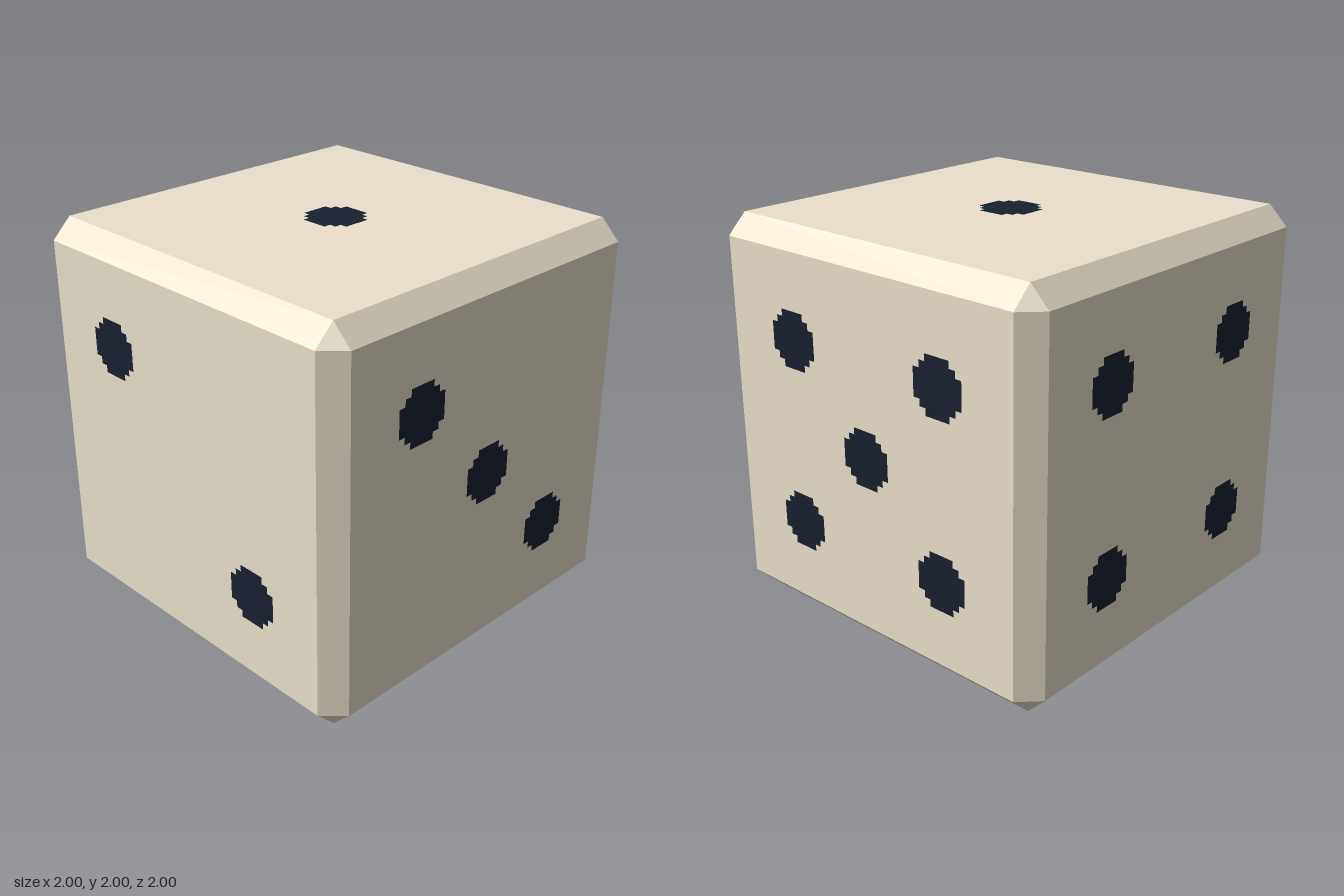
import * as THREE from 'three';

const H = 1;      // half the cube
const E = 0.9;    // half of each flat face, leaving a 0.1 chamfer
const P = 0.47;   // pip offset from the face centre
const U = 0.0358; // step of the stair-edged pips

const ivory = new THREE.MeshStandardMaterial({ color: 0xebe1cc, flatShading: true });
const ink = new THREE.MeshStandardMaterial({ color: 0x18202f, flatShading: true });

// Stepped round outline, eight steps wide: one quarter, turned four times
function pipPoints(cx, cy) {
  const quarter = [[4, -2], [4, 2], [3, 2], [3, 3], [2, 3]];
  const pts = [];
  for (let i = 0; i < 4; i++) {
    for (let [x, y] of quarter) {
      for (let k = 0; k < i; k++) [x, y] = [-y, x];
      if (i > 0 && x === pts.at(-1).ux && y === pts.at(-1).uy) continue;
      const p = new THREE.Vector2(cx + x * U, cy + y * U);
      pts.push(Object.assign(p, { ux: x, uy: y }));
    }
  }
  // the last corner meets the first
  const last = pts.at(-1);
  if (last.ux === pts[0].ux && last.uy === pts[0].uy) pts.pop();
  return pts;
}

// One flat face with its pips inlaid flush
function makeFace(name, pips, rx, ry) {
  const face = new THREE.Group();
  face.name = name;
  const square = new THREE.Shape([[-E, -E], [E, -E], [E, E], [-E, E]].map(([x, y]) => new THREE.Vector2(x, y)));
  for (const [x, y] of pips) {
    const pts = pipPoints(x * P, y * P);
    square.holes.push(new THREE.Path(pts));
    const pip = new THREE.Mesh(new THREE.ShapeGeometry(new THREE.Shape(pts)), ink);
    pip.name = 'pip';
    pip.position.z = H;
    face.add(pip);
  }
  const panel = new THREE.Mesh(new THREE.ShapeGeometry(square), ivory);
  panel.name = 'facePanel';
  panel.position.z = H;
  face.add(panel);
  face.rotation.set(rx, ry, 0);
  return face;
}

// Flat bevels along the 12 edges and triangles on the 8 corners
function makeChamfers() {
  const pos = [];
  const tri = (a, b, c, flip) => pos.push(...a, ...(flip ? c : b), ...(flip ? b : c));
  const signs = [-1, 1];
  for (const s of signs) for (const t of signs) {
    for (let axis = 0; axis < 3; axis++) {
      const at = (u, v, w) => {
        const p = [0, 0, 0];
        p[axis] = u;
        p[(axis + 1) % 3] = v * s;
        p[(axis + 2) % 3] = w * t;
        return p;
      };
      const a = at(-E, E, H), b = at(E, E, H), c = at(E, H, E), d = at(-E, H, E);
      tri(a, b, c, s * t < 0);
      tri(a, c, d, s * t < 0);
    }
    for (const r of signs) {
      tri([H * s, E * t, E * r], [E * s, H * t, E * r], [E * s, E * t, H * r], s * t * r < 0);
    }
  }
  const geo = new THREE.BufferGeometry();
  geo.setAttribute('position', new THREE.Float32BufferAttribute(pos, 3));
  geo.computeVertexNormals();
  const mesh = new THREE.Mesh(geo, ivory);
  mesh.name = 'chamferedEdges';
  return mesh;
}

export function createModel() {
  const model = new THREE.Group();
  model.name = 'die';
  const Q = Math.PI / 2;
  const diagonal = [[-1, 1], [1, -1]];
  const four = [...diagonal, [1, 1], [-1, -1]];
  const centre = [0, 0];

  model.add(
    makeFace('topFaceOne', [centre], -Q, 0),
    makeFace('frontFaceTwo', diagonal, 0, 0),
    makeFace('sideFaceThree', [...diagonal, centre], 0, Q),
    makeFace('sideFaceFour', four, 0, -Q),
    makeFace('backFaceFive', [...four, centre], 0, 2 * Q),
    makeFace('bottomFaceSix', [...four, [-1, 0], [1, 0]], Q, 0),
    makeChamfers()
  );
  for (const part of model.children) part.position.y = H;
  return model;
}
